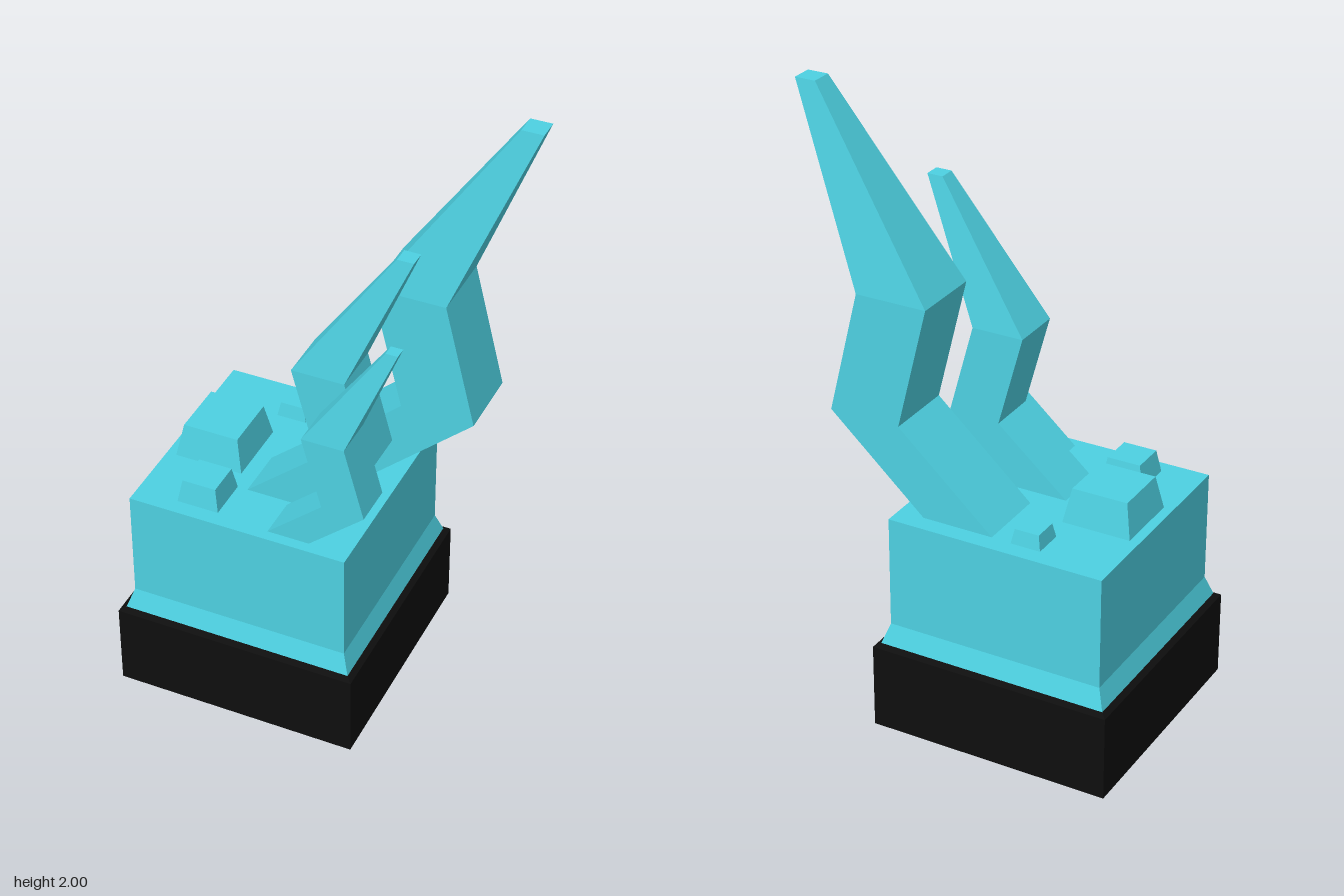
import * as THREE from 'three';

const teal = new THREE.MeshStandardMaterial({ color: 0x4dd0e1 });
teal.name = 'teal';
const black = new THREE.MeshStandardMaterial({ color: 0x0e0e0e });
black.name = 'black';

// Closed solid through horizontal rectangles [y, x0, x1, z0, z1], bottom to top
function loft(name, material, rings) {
  const corners = rings.map(([y, x0, x1, z0, z1]) =>
    [[x0, y, z1], [x1, y, z1], [x1, y, z0], [x0, y, z0]]);
  const positions = [];
  const quad = (a, b, c, d) => positions.push(...a, ...b, ...c, ...a, ...c, ...d);
  for (let r = 0; r < corners.length - 1; r++) {
    const low = corners[r], high = corners[r + 1];
    for (let i = 0; i < 4; i++) {
      const j = (i + 1) % 4;
      quad(low[i], low[j], high[j], high[i]);
    }
  }
  const [p, q, s, t] = corners[0];
  quad(t, s, q, p);
  quad(...corners[corners.length - 1]);
  const geometry = new THREE.BufferGeometry();
  geometry.setAttribute('position', new THREE.Float32BufferAttribute(positions, 3));
  geometry.computeVertexNormals();
  const mesh = new THREE.Mesh(geometry, material);
  mesh.name = name;
  return mesh;
}

// Square ring of the pedestal, which sits left of the origin
const CX = -0.167;
const square = (y, h) => [y, CX - h, CX + h, -h, h];

// Crooked spike: constant width up to the knee, then a taper to a blunt tip.
// path holds [left x, y] at base, elbow, knee and tip.
function spike(name, z, width, tipWidth, path) {
  return loft(name, teal, path.map(([x, y], i) => {
    const w = i === 3 ? tipWidth : width;
    return [y, x, x + w, z - w / 2, z + w / 2];
  }));
}

// Small block with sloping sides
function stud(name, x0, x1, z0, z1, top, inset) {
  return loft(name, teal, [
    [0.72, x0, x1, z0, z1],
    [top, x0 + inset, x1 - inset, z0 + inset, z1 - inset],
  ]);
}

export function createModel() {
  const model = new THREE.Group();
  model.name = 'crystalPedestal';

  // Pedestal
  model.add(
    loft('plinth', black, [square(0, 0.398), square(0.28, 0.398), square(0.29, 0.382)]),
    loft('block', teal, [square(0.288, 0.38), square(0.355, 0.357), square(0.72, 0.357)]),
  );

  // Spikes, back to front
  model.add(
    spike('largeSpike', -0.181, 0.234, 0.068, [[-0.13, 0.72], [0.186, 1.005], [0.087, 1.405], [0.492, 2]]),
    spike('mediumSpike', 0.086, 0.17, 0.052, [[-0.217, 0.72], [0.017, 0.922], [-0.065, 1.222], [0.238, 1.66]]),
    spike('smallSpike', 0.254, 0.136, 0.038, [[-0.077, 0.72], [0.1, 0.875], [0.036, 1.108], [0.276, 1.455]]),
  );

  // Studs on the top face
  model.add(
    stud('largeStud', -0.492, -0.268, -0.117, 0.11, 0.83, 0.021),
    stud('mediumStud', -0.386, -0.25, 0.17, 0.307, 0.795, 0.013),
    stud('smallStud', -0.293, -0.195, -0.301, -0.201, 0.767, 0.009),
  );
  return model;
}
